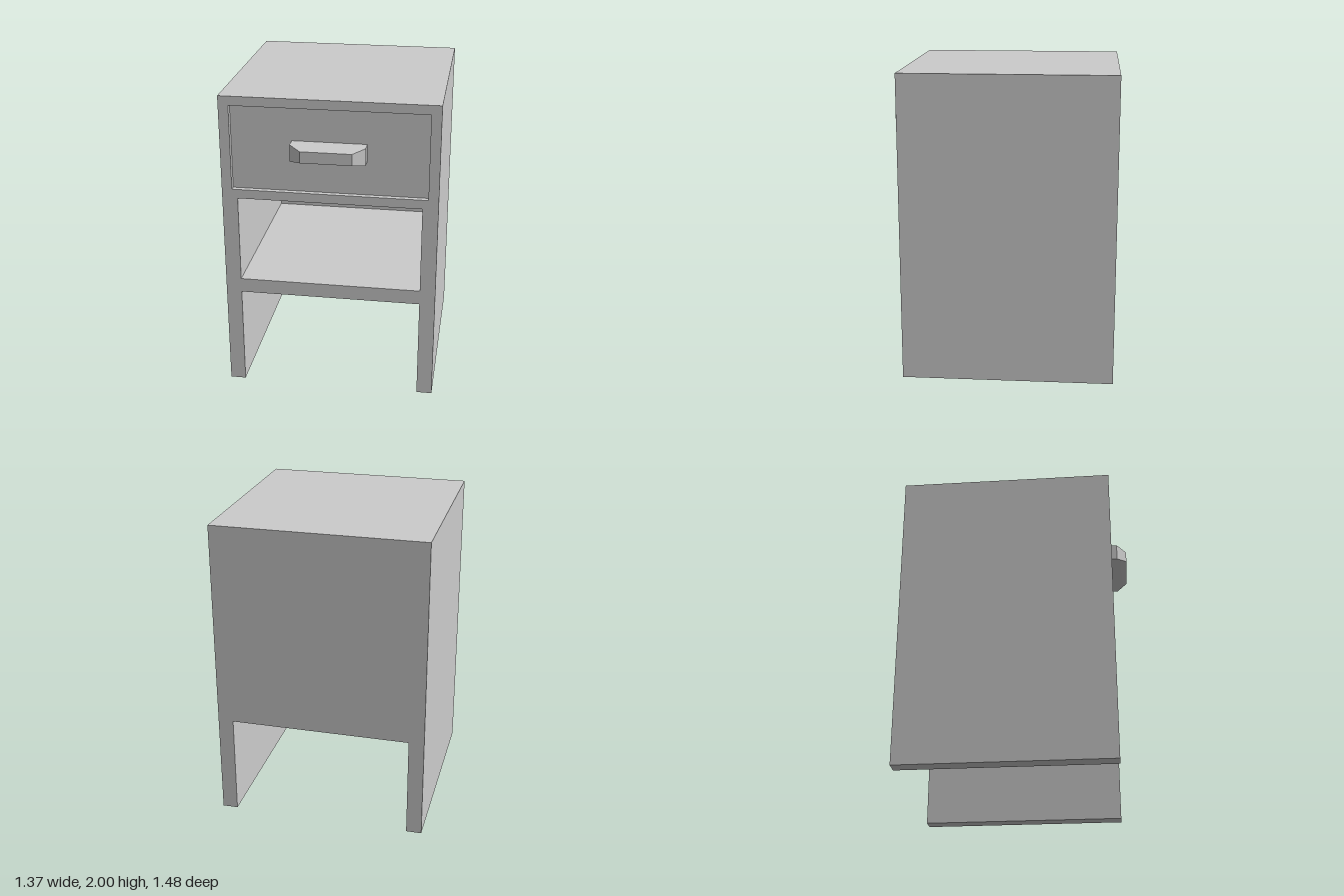
import * as THREE from 'three';
import { toCreasedNormals } from 'three/addons/utils/BufferGeometryUtils.js';

const W = 0.685, INNER = 0.585, H = 2, SHELF_BOTTOM = 0.665;
const BACK = -0.74, BACK_INNER = -0.64, FRONT = 0.635, DRAWER_FRONT = 0.6;
const NICHE = { x: INNER, y0: 0.76, y1: 1.33 };
const DRAWER = { x: 0.62, y0: 1.39, y1: 1.94 };

const material = new THREE.MeshStandardMaterial({ color: 0xcccccc });

function addMesh(group, name, geometry) {
  const mesh = new THREE.Mesh(geometry, material);
  mesh.name = name;
  group.add(mesh);
  return mesh;
}

function rectPath({ x, y0, y1 }) {
  return new THREE.Path([[-x, y0], [-x, y1], [x, y1], [x, y0]].map(p => new THREE.Vector2(...p)));
}

// Cabinet outline with two slab legs, extruded between two depths
function slab(z0, z1, holes = []) {
  const outline = [[-W, 0], [-INNER, 0], [-INNER, SHELF_BOTTOM], [INNER, SHELF_BOTTOM],
    [INNER, 0], [W, 0], [W, H], [-W, H]];
  const shape = new THREE.Shape(outline.map(p => new THREE.Vector2(...p)));
  shape.holes = holes.map(rectPath);
  return new THREE.ExtrudeGeometry(shape, { depth: z1 - z0, bevelEnabled: false }).translate(0, 0, z0);
}

// Rectangular sections [half width, half height, z] joined from back to front
function loftRects(sections) {
  const positions = [], index = [];
  for (const [w, h, z] of sections) positions.push(-w, -h, z, w, -h, z, w, h, z, -w, h, z);
  for (let s = 0; s < sections.length - 1; s++) {
    for (let i = 0; i < 4; i++) {
      const a = s * 4 + i, b = s * 4 + (i + 1) % 4;
      index.push(a, b, b + 4, a, b + 4, a + 4);
    }
  }
  const f = (sections.length - 1) * 4;
  index.push(0, 2, 1, 0, 3, 2, f, f + 1, f + 2, f, f + 2, f + 3);
  const geometry = new THREE.BufferGeometry();
  geometry.setAttribute('position', new THREE.Float32BufferAttribute(positions, 3));
  geometry.setIndex(index);
  return toCreasedNormals(geometry, Math.PI / 6);
}

export function createModel() {
  const model = new THREE.Group();
  model.name = 'nightstand';

  // Case with open niche and drawer bay, closed by a back panel
  addMesh(model, 'case', slab(BACK_INNER, FRONT, [NICHE, DRAWER]));
  addMesh(model, 'backPanel', slab(BACK, BACK_INNER));

  // Drawer, set slightly back from the front frame
  const drawer = new THREE.Group();
  drawer.name = 'drawer';
  model.add(drawer);
  const depth = DRAWER_FRONT - BACK_INNER;
  const body = addMesh(drawer, 'drawerBody',
    new THREE.BoxGeometry(DRAWER.x * 2, DRAWER.y1 - DRAWER.y0, depth));
  body.position.set(0, (DRAWER.y0 + DRAWER.y1) / 2, BACK_INNER + depth / 2);

  // Bevelled pull handle
  const handle = addMesh(drawer, 'handle',
    loftRects([[0.235, 0.055, DRAWER_FRONT], [0.235, 0.055, 0.675], [0.16, 0.037, 0.74]]));
  handle.position.y = 1.667;

  return model;
}
